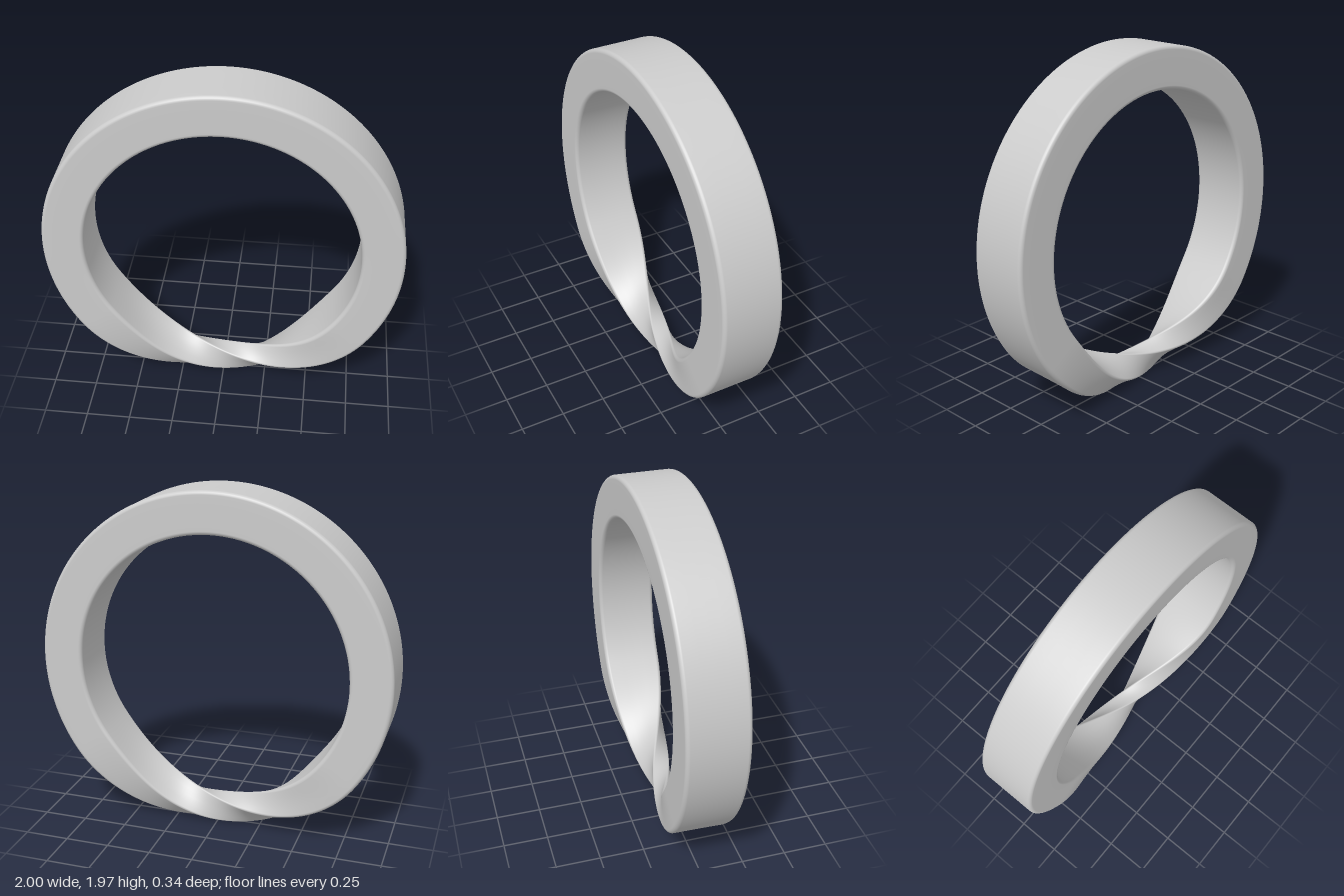
import * as THREE from 'three';

const RADIUS = 0.8825;      // centre line of the ring
const HALF_R = 0.1175;      // half thickness of the band, radially
const HALF_Z = 0.17;        // half width of the band, front to back
const ROUND = 0.022;        // edge rounding
const CENTRE_Y = 0.967;
const TWIST_SPAN = THREE.MathUtils.degToRad(56);
const PINCH = 0.44;         // size of the band at the middle of the twist

// Rounded rectangle, counterclockwise, with a few points along each flat side
function sectionPoints() {
  const pts = [];
  const arcSteps = 5, flatSteps = 4;
  const corners = [[1, 1], [-1, 1], [-1, -1], [1, -1]];
  const arcPoint = (k, t) => {
    const [su, sv] = corners[k % 4];
    const a = (k + t) * Math.PI / 2;
    return new THREE.Vector2(
      su * (HALF_R - ROUND) + ROUND * Math.cos(a),
      sv * (HALF_Z - ROUND) + ROUND * Math.sin(a));
  };
  for (let k = 0; k < 4; k++) {
    for (let s = 0; s <= arcSteps; s++) pts.push(arcPoint(k, s / arcSteps));
    const from = arcPoint(k, 1), to = arcPoint(k + 1, 0);
    for (let s = 1; s < flatSteps; s++) pts.push(from.clone().lerp(to, s / flatSteps));
  }
  return pts;
}

// Sweep the section round the circle; it makes a half turn at the bottom
function twistedBand() {
  const section = sectionPoints();
  const rings = 320, m = section.length;
  const positions = [], index = [];
  for (let i = 0; i < rings; i++) {
    const phi = -Math.PI + (i / rings) * Math.PI * 2;   // 0 is the bottom
    const x = THREE.MathUtils.clamp(phi / TWIST_SPAN, -1, 1) * Math.PI / 2;
    const c = -Math.sin(x);
    const s = PINCH * Math.pow(Math.max(0, Math.cos(x)), 2.5);
    for (const p of section) {
      const r = RADIUS + c * p.x + s * p.y;
      const z = c * p.y - s * p.x;
      positions.push(r * Math.sin(phi), CENTRE_Y - r * Math.cos(phi), z);
    }
  }
  // The last ring joins the first one half a section further on
  const id = (i, j) => i < rings ? i * m + j % m : (j + m / 2) % m;
  for (let i = 0; i < rings; i++) {
    for (let j = 0; j < m; j++) {
      const a = id(i, j), b = id(i + 1, j), c = id(i + 1, j + 1), d = id(i, j + 1);
      index.push(a, b, c, a, c, d);
    }
  }
  const geometry = new THREE.BufferGeometry();
  geometry.setAttribute('position', new THREE.Float32BufferAttribute(positions, 3));
  geometry.setIndex(index);
  geometry.computeVertexNormals();
  return geometry;
}

export function createModel() {
  const group = new THREE.Group();
  group.name = 'twistedRing';
  const material = new THREE.MeshStandardMaterial({ color: 0xcccccc });
  const band = new THREE.Mesh(twistedBand(), material);
  band.name = 'band';
  group.add(band);
  return group;
}
